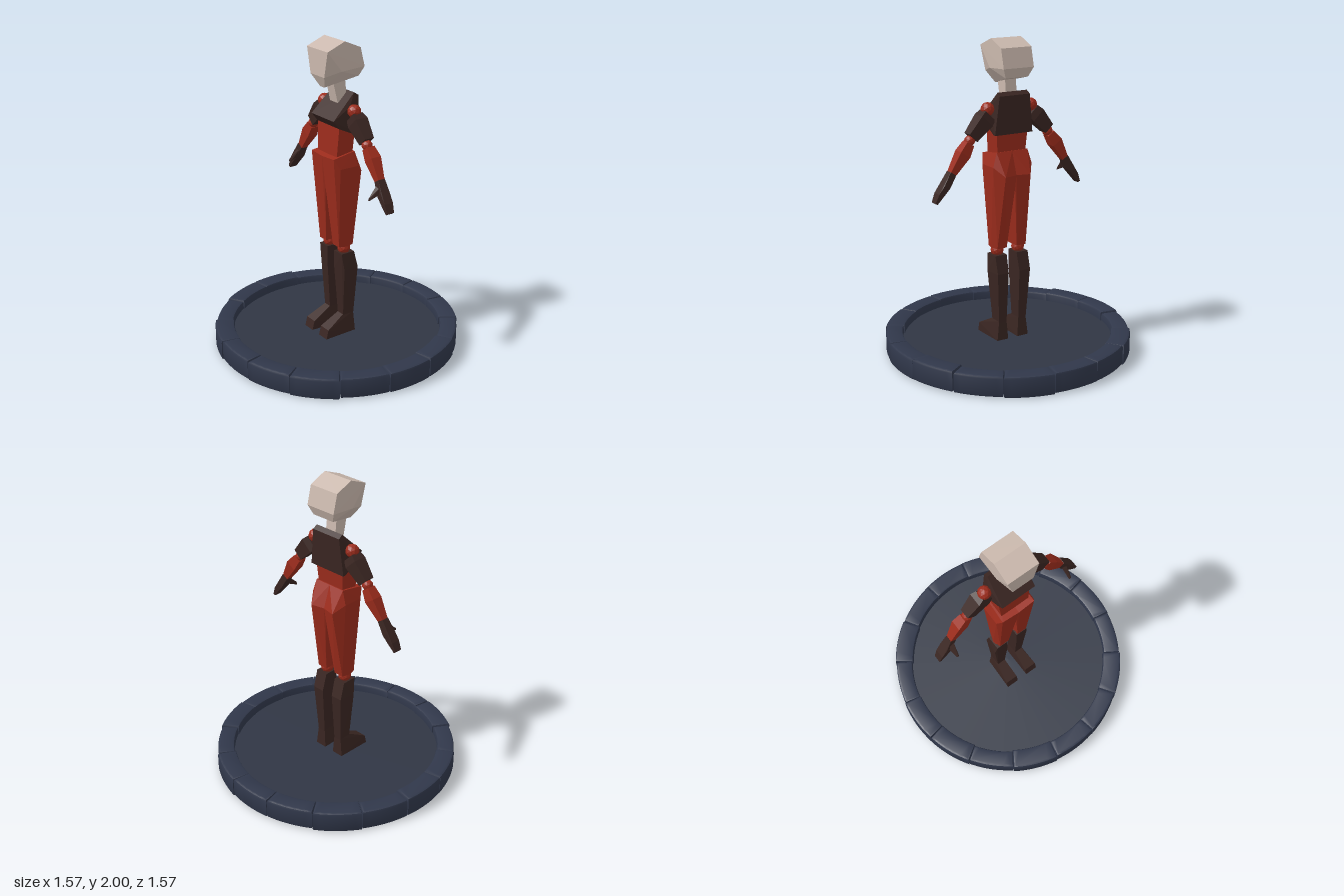
import * as THREE from 'three';
import { ConvexGeometry } from 'three/addons/geometries/ConvexGeometry.js';
import { toCreasedNormals } from 'three/addons/utils/BufferGeometryUtils.js';

const paint = (color, flatShading = true) => {
  const m = new THREE.MeshStandardMaterial({ color });
  m.flatShading = flatShading;
  return m;
};
const skin = paint(0xcbb9ae), red = paint(0x9c2c1c), dark = paint(0x3a2622);
const stone = paint(0x30374a, false), slab = paint(0x303644, false);

export function createModel() {
  const model = new THREE.Group();

  const add = (name, geometry, material, parent = model) => {
    const mesh = new THREE.Mesh(geometry, material);
    mesh.name = name;
    parent.add(mesh);
    return mesh;
  };
  const v = (p, s = 1) => new THREE.Vector3(p[0] * s, p[1], p[2]);
  // faceted solid around a list of corners, on one side or mirrored across x
  const hull = (name, material, pts, s = 1, parent = model) =>
    add(name, new ConvexGeometry(pts.map((p) => v(p, s))), material, parent);
  const hullBoth = (name, material, pts) =>
    add(name, new ConvexGeometry(pts.flatMap((p) => [v(p), v(p, -1)])), material);
  const ball = (name, p, r, s, parent) =>
    add(name, new THREE.IcosahedronGeometry(r, 1), red, parent).position.copy(v(p, s));
  // four-sided limb; each section is [x, y, z, half width, half depth]
  const limb = (name, material, sections, s, parent) => {
    const a = sections[0], b = sections[sections.length - 1];
    const len = Math.hypot(b[0] - a[0], b[1] - a[1]);
    const nx = -(b[1] - a[1]) / len, ny = (b[0] - a[0]) / len;
    const pts = sections.flatMap(([x, y, z, w, d]) =>
      [[1, 1], [1, -1], [-1, -1], [-1, 1]].map(([i, j]) => [x + nx * w * i, y + ny * w * i, z + d * j]));
    return hull(name, material, pts, s, parent);
  };

  // head and neck
  hullBoth('head', skin, [
    [0.107, 1.95, 0.14], [0.107, 2, 0.015], [0.107, 1.95, -0.1], [0.107, 1.83, -0.13],
    [0.105, 1.82, 0.035], [0.072, 1.79, 0.14], [0.022, 1.715, 0.105], [0.08, 1.77, -0.107],
  ]);
  hullBoth('neck', skin, [
    [0.038, 1.78, 0.06], [0.038, 1.8, -0.03], [0.04, 1.61, 0.02], [0.04, 1.61, -0.05],
  ]);

  // trunk
  hullBoth('chest', dark, [
    [0.105, 1.68, -0.055], [0.108, 1.66, -0.085], [0.117, 1.525, 0.105], [0.117, 1.47, 0.06],
    [0.125, 1.6, -0.01], [0.135, 1.42, -0.075], [0.13, 1.42, -0.05],
  ]);
  hullBoth('waist', red, [
    [0.115, 1.49, 0.06], [0.115, 1.49, -0.06], [0.1, 1.28, 0.07], [0.1, 1.28, -0.045],
  ]);

  for (const [side, s] of [['left', 1], ['right', -1]]) {
    // trouser half, from waistband to knee
    const leg = new THREE.Group();
    leg.name = side + 'Leg';
    model.add(leg);
    hull('trouser', red, [
      [0, 1.28, 0.11], [0.118, 1.285, 0.105], [0.112, 1.31, -0.055], [0, 1.31, -0.055],
      [0.14, 1.22, 0.07], [0.14, 1.22, -0.06], [0.09, 1.165, -0.125], [0, 1.165, -0.105],
      [0, 1.08, 0.085], [0, 1.08, -0.09],
      [0.037, 0.69, 0.055], [0.105, 0.69, 0.055], [0.12, 0.69, 0],
      [0.105, 0.69, -0.05], [0.037, 0.69, -0.05],
    ], s, leg);
    ball('knee', [0.077, 0.67, 0], 0.042, s, leg);
    hull('boot', dark, [
      [0.037, 0.645, 0.045], [0.12, 0.645, 0.045], [0.037, 0.645, -0.05], [0.12, 0.645, -0.05],
      [0.037, 0.53, 0.045], [0.13, 0.53, 0.03], [0.04, 0.53, -0.08], [0.12, 0.53, -0.08],
      [0.045, 0.19, 0.02], [0.1, 0.19, 0.02], [0.045, 0.19, -0.06], [0.1, 0.19, -0.06],
    ], s, leg);
    hull('foot', dark, [
      [0.045, 0.21, 0.02], [0.1, 0.21, 0.02], [0.045, 0.21, -0.06], [0.1, 0.21, -0.06],
      [0.037, 0.14, 0.15], [0.122, 0.14, 0.15], [0.037, 0.08, 0.165], [0.122, 0.08, 0.165],
      [0.035, 0.08, -0.065], [0.115, 0.08, -0.065],
    ], s, leg);

    // arm with ball joints
    const arm = new THREE.Group();
    arm.name = side + 'Arm';
    model.add(arm);
    ball('shoulder', [0.155, 1.58, -0.02], 0.043, s, arm);
    limb('upperArm', dark, [
      [0.155, 1.545, -0.022, 0.045, 0.035], [0.185, 1.515, -0.025, 0.05, 0.045],
      [0.275, 1.42, -0.025, 0.036, 0.034],
    ], s, arm);
    ball('elbow', [0.283, 1.4, -0.022], 0.034, s, arm);
    limb('forearm', red, [
      [0.292, 1.385, -0.025, 0.027, 0.028], [0.335, 1.325, -0.028, 0.037, 0.036],
      [0.415, 1.205, -0.022, 0.02, 0.022],
    ], s, arm);
    limb('hand', dark, [
      [0.41, 1.215, -0.022, 0.022, 0.024], [0.455, 1.14, -0.018, 0.021, 0.033],
      [0.495, 1.09, -0.016, 0.017, 0.031], [0.525, 1.04, -0.014, 0.008, 0.025],
    ], s, arm);
    hull('thumb', dark, [
      [0.41, 1.19, 0], [0.445, 1.185, 0], [0.43, 1.14, 0], [0.455, 1.15, 0],
      [0.42, 1.135, 0.045], [0.44, 1.14, 0.045],
      [0.422, 1.11, 0.07], [0.438, 1.115, 0.07], [0.43, 1.125, 0.075],
    ], s, arm);
  }

  // round floor slab
  const floor = add('floor', new THREE.CylinderGeometry(0.7, 0.7, 0.03, 64), slab);
  floor.position.y = 0.065;

  // ring of bevelled curb stones with slight unevenness
  const ring = new THREE.Group();
  ring.name = 'curb';
  model.add(ring);
  const count = 16, bevel = 0.014;
  for (let i = 0; i < count; i++) {
    const wobble = Math.sin(i * 2.4) * 0.004, lift = 0.004 + Math.sin(i * 1.7) * 0.004;
    const half = Math.PI / count - 0.02;
    const shape = new THREE.Shape();
    shape.absarc(0, 0, 0.772 + wobble, -half, half, false);
    shape.absarc(0, 0, 0.684 - wobble, half, -half, true);
    shape.closePath();
    const geo = new THREE.ExtrudeGeometry(shape, {
      depth: 0.133 - 2 * bevel + wobble / 2, bevelThickness: bevel, bevelSize: bevel,
      bevelSegments: 2, curveSegments: 5,
    });
    geo.rotateX(-Math.PI / 2);
    geo.translate(0, bevel + lift, 0);
    const block = add('curbStone', toCreasedNormals(geo, 0.7), stone, ring);
    block.rotation.y = (i * 2 * Math.PI) / count;
  }
  return model;
}
